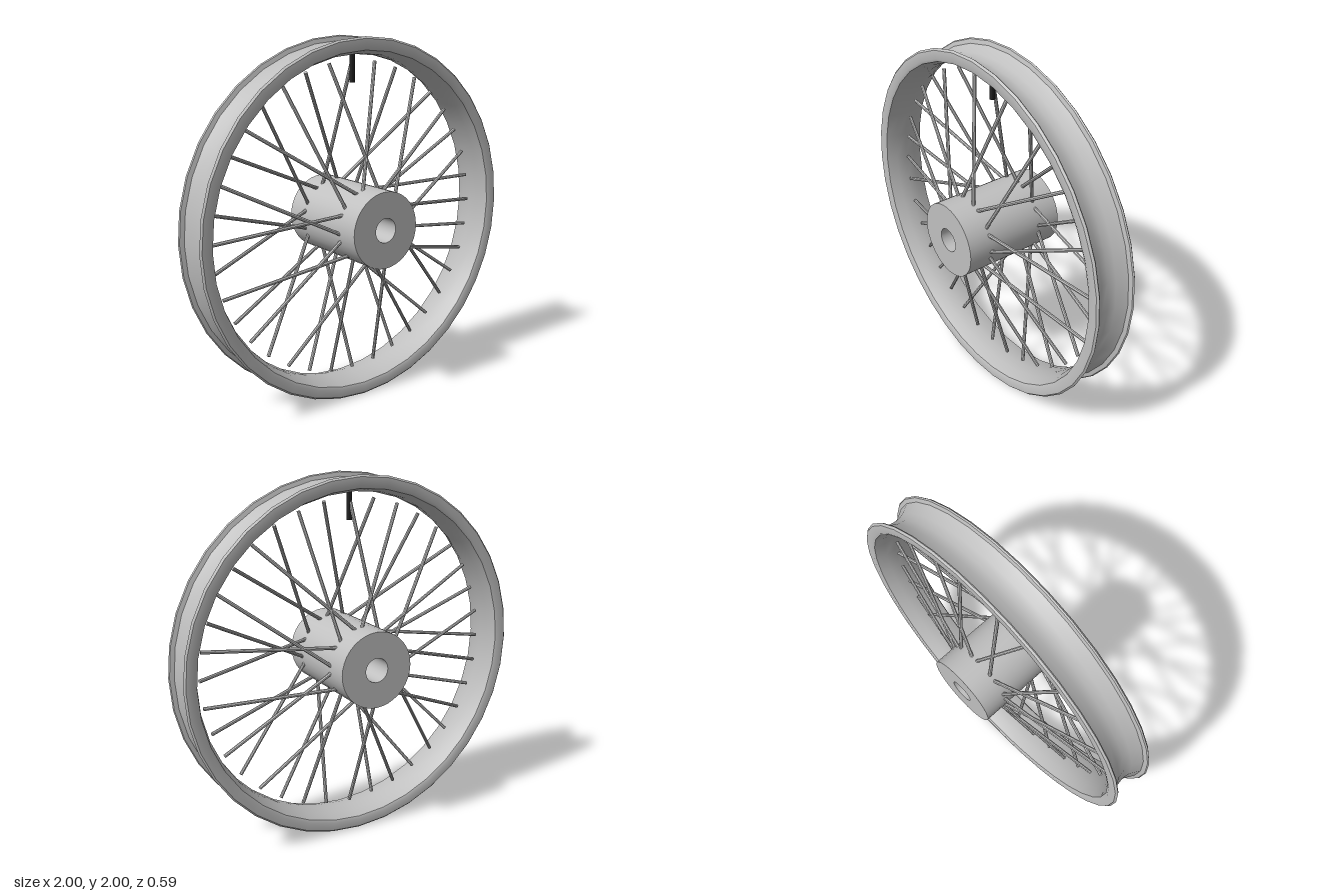
import * as THREE from 'three';
import { toCreasedNormals } from 'three/addons/utils/BufferGeometryUtils.js';

const metal = new THREE.MeshStandardMaterial({ color: 0xc0c0c0 });
metal.name = 'light grey metal';
const rubber = new THREE.MeshStandardMaterial({ color: 0x222222 });
rubber.name = 'black rubber';

const AXLE_Y = 1;

// Closed profile of [radius, z] points, revolved around the z axis
function ring(name, profile, sides) {
  const points = [...profile, profile[0]].map(([r, z]) => new THREE.Vector2(r, z));
  const geometry = new THREE.LatheGeometry(points, sides).rotateX(Math.PI / 2);
  const mesh = new THREE.Mesh(toCreasedNormals(geometry, 0.6), metal);
  mesh.name = name;
  return mesh;
}

// Round bar between two points
function rod(name, from, to, radius, sides, material) {
  const axis = to.clone().sub(from);
  const geometry = new THREE.CylinderGeometry(radius, radius, axis.length(), sides);
  const mesh = new THREE.Mesh(toCreasedNormals(geometry, 1.2), material);
  mesh.position.copy(from).add(to).multiplyScalar(0.5);
  mesh.quaternion.setFromUnitVectors(new THREE.Vector3(0, 1, 0), axis.normalize());
  mesh.name = name;
  return mesh;
}

const polar = (r, degrees, z) => {
  const a = THREE.MathUtils.degToRad(degrees);
  return new THREE.Vector3(r * Math.cos(a), r * Math.sin(a), z);
};

export function createModel() {
  const model = new THREE.Group();
  model.name = 'spokedWheel';
  const wheel = new THREE.Group();
  wheel.name = 'wheel';
  wheel.position.y = AXLE_Y;
  model.add(wheel);

  // Rim: hollow outer channel between two lips, with a bulging inner face
  const outerHalf = [[0.935, 0], [0.942, 0.045], [0.972, 0.1], [0.995, 0.106], [1, 0.113], [0.99, 0.123]];
  const innerHalf = [[0.945, 0.125], [0.93, 0.118], [0.91, 0.06], [0.905, 0]];
  const front = [...outerHalf, ...innerHalf];
  const back = front.slice(1, -1).reverse().map(([r, z]) => [r, -z]);
  wheel.add(ring('rim', [...front, ...back], 36));

  // Hub with a through bore
  wheel.add(ring('hub', [[0.067, -0.295], [0.21, -0.295], [0.21, 0.295], [0.067, 0.295]], 36));

  // Crossed spokes: alternate hub sides, lean direction swaps every two
  const spokes = new THREE.Group();
  spokes.name = 'spokes';
  for (let i = 0; i < 36; i++) {
    const side = i % 2 ? -1 : 1;
    const lean = i % 4 < 2 ? 1 : -1;
    const hubEnd = polar(0.2, i * 10 + lean * 25, side * 0.163);
    spokes.add(rod('spoke', hubEnd, polar(0.875, i * 10, 0), 0.01, 8, metal));
  }
  wheel.add(spokes);

  // Valve stem pointing inward from the top of the rim
  wheel.add(rod('valveStem', new THREE.Vector3(0, 0.755, 0), new THREE.Vector3(0, 0.915, 0), 0.015, 12, rubber));

  return model;
}
